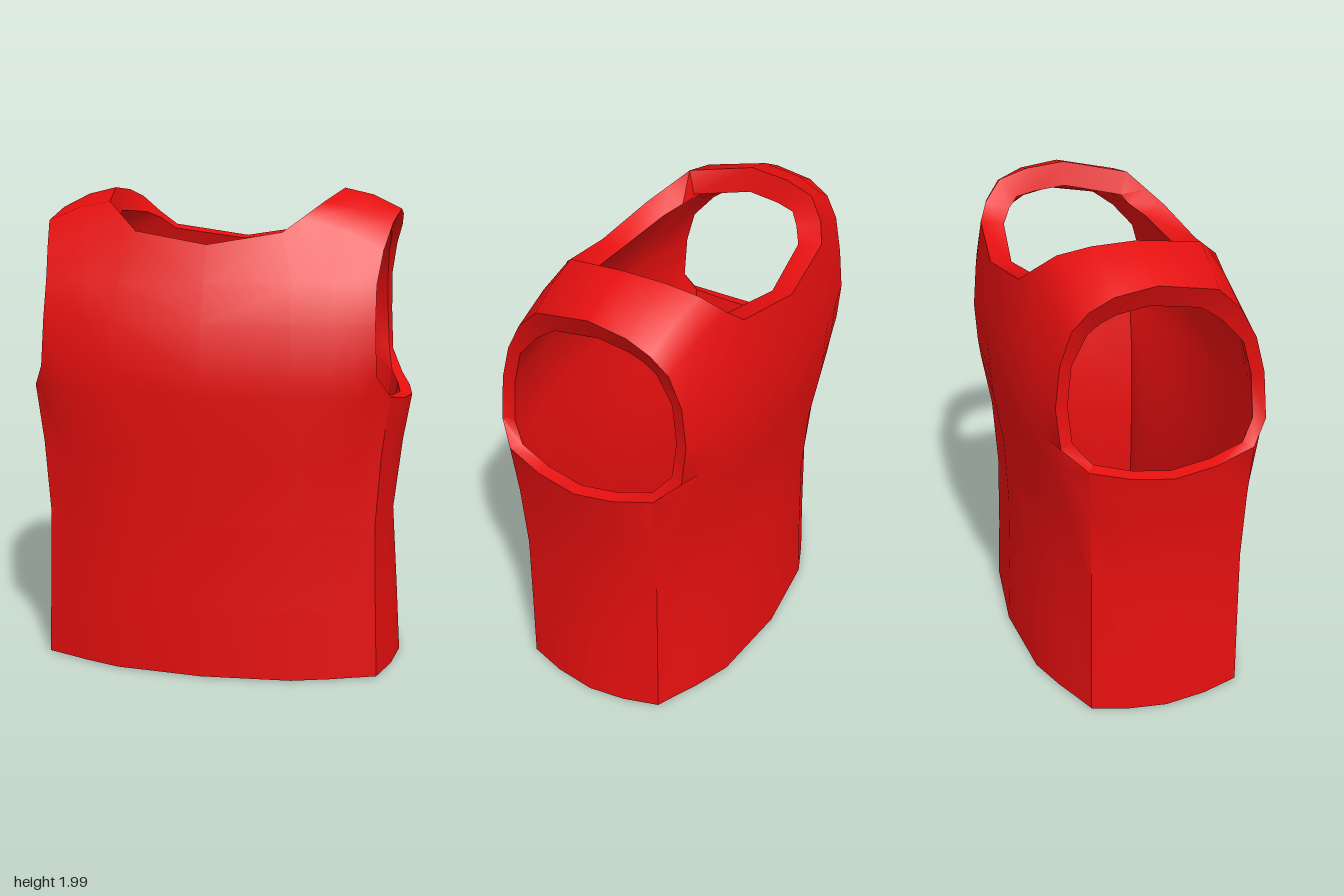
import * as THREE from 'three';
import { mergeVertices, toCreasedNormals } from 'three/addons/utils/BufferGeometryUtils.js';

// Panel rows: height, z at the centre line, x and z at the side, z of the seam if it differs
const FRONT = [
  [0.01, 0.50, 0.71, 0.35], [0.3, 0.50, 0.70, 0.35], [0.65, 0.495, 0.69, 0.35],
  [0.95, 0.515, 0.71, 0.37, 0.355], [1.19, 0.525, 0.74, 0.395, 0.36], [1.28, 0.525, 0.69, 0.425],
  [1.48, 0.50, 0.68, 0.41], [1.63, 0.44, 0.678, 0.37],
];
const BACK = [
  [0.01, -0.49, 0.71, -0.30], [0.3, -0.475, 0.70, -0.295], [0.65, -0.465, 0.69, -0.29],
  [0.95, -0.475, 0.71, -0.32, -0.295], [1.19, -0.51, 0.74, -0.365, -0.31], [1.28, -0.517, 0.69, -0.405],
  [1.45, -0.525, 0.68, -0.42], [1.62, -0.51, 0.678, -0.40],
];
const SIDE_X = [0.78, 0.762, 0.738, 0.772, 0.805]; // widest x of each side row

// Half row from the centre line out to the side seam
function panelRow([y, zc, xk, zk, seam = zk]) {
  const across = [[0, 0], [0.52, 0.2], [0.74, 0.53], [0.87, 0.77]];
  return [...across.map(([s, f]) => [s * xk, y, zc + (zk - zc) * f]), [xk, y, seam]];
}

// Shoulder row from neck edge to arm edge, slightly arched
function strapRow(neck, arm) {
  const mid = neck.map((v, i) => (v + arm[i]) / 2 + (i === 1 ? 0.015 : 0));
  return [neck, mid, arm];
}

// Wall thickness: padded shoulders, and a flatter lining inside the waist
function thicknessAt(x, y) {
  const shoulder = 0.05 * THREE.MathUtils.smoothstep(y, 1.62, 1.88);
  const across = Math.sin(Math.PI * Math.min(1, Math.abs(x) / 0.7));
  const waist = 0.045 * across * Math.sin(Math.PI * Math.min(1, y / 1.3));
  return 0.052 + shoulder + waist;
}

// Adds front and back faces, joined by rims along every open edge
function solidify(points) {
  let g = new THREE.BufferGeometry();
  g.setAttribute('position', new THREE.Float32BufferAttribute(points.flat(), 3));
  g = mergeVertices(g, 1e-4);
  g.computeVertexNormals();
  const p = g.attributes.position, n = g.attributes.normal, count = p.count;
  const idx = Array.from(g.index.array), verts = Array.from(p.array), out = [...idx];
  for (let i = 0; i < count; i++) {
    const t = thicknessAt(p.getX(i), p.getY(i));
    verts.push(p.getX(i) - n.getX(i) * t, p.getY(i) - n.getY(i) * t, p.getZ(i) - n.getZ(i) * t);
  }
  const edges = new Set();
  const eachEdge = (fn) => {
    for (let i = 0; i < idx.length; i += 3)
      for (let k = 0; k < 3; k++) fn(idx[i + k], idx[i + (k + 1) % 3]);
  };
  eachEdge((a, b) => edges.add(a + '_' + b));
  for (let i = 0; i < idx.length; i += 3)
    out.push(idx[i] + count, idx[i + 2] + count, idx[i + 1] + count);
  eachEdge((a, b) => {
    if (!edges.has(b + '_' + a)) out.push(b, a, a + count, b, a + count, b + count);
  });
  const solid = new THREE.BufferGeometry();
  solid.setAttribute('position', new THREE.Float32BufferAttribute(verts, 3));
  solid.setIndex(out);
  return toCreasedNormals(solid, THREE.MathUtils.degToRad(42));
}

export function createModel() {
  const group = new THREE.Group();
  group.name = 'sleevelessVest';
  const red = new THREE.MeshStandardMaterial({ color: 0xe50f0f });
  red.name = 'red';

  const points = [];
  const flip = ([x, y, z]) => [-x, y, z];
  const quad = (a, b, c, d) => {
    points.push(a, b, c, a, c, d);
    const [e, f, g, h] = [a, b, c, d].map(flip);
    points.push(e, g, f, e, h, g);
  };
  // Joins two rows, lined up at the arm edge when one is shorter
  const joinRows = (lo, hi) => {
    const n = Math.min(lo.length, hi.length);
    const a = lo.slice(-n), b = hi.slice(-n);
    for (let i = 0; i < n - 1; i++) quad(a[i], a[i + 1], b[i + 1], b[i]);
  };

  // One sheet running up the front, over the shoulders and down the back
  const front = FRONT.map(panelRow), back = BACK.map(panelRow);
  const frontNeck = [[0, 1.78, 0.378], [0.30, 1.83, 0.345],
    ...strapRow([0.37, 1.885, 0.285], [0.695, 1.76, 0.295])];
  const backNeck = [[0, 1.78, -0.495], [0.33, 1.83, -0.46],
    ...strapRow([0.40, 1.89, -0.42], [0.70, 1.76, -0.36])];
  const sheet = [
    ...front, frontNeck,
    strapRow([0.445, 1.945, 0.22], [0.722, 1.865, 0.19]),
    strapRow([0.50, 2.0, -0.05], [0.738, 1.915, -0.05]),
    strapRow([0.485, 1.99, -0.22], [0.735, 1.89, -0.21]),
    strapRow([0.46, 1.96, -0.345], [0.725, 1.84, -0.30]),
    backNeck, ...back.slice().reverse(),
  ];
  for (let r = 0; r < sheet.length - 1; r++) joinRows(sheet[r], sheet[r + 1]);

  // Side panels below the armholes
  const sides = SIDE_X.map((xm, r) => {
    const f = front[r][4], b = back[r][4], drop = r === 4 ? 0.045 : 0;
    const at = (k, z) => [f[0] + (xm - f[0]) * k, f[1] - drop * k, z];
    return [f, at(0.68, 0.19), at(1, 0.01), at(0.68, -0.15), b];
  });
  for (let r = 0; r < sides.length - 1; r++) joinRows(sides[r], sides[r + 1]);

  const vest = new THREE.Mesh(solidify(points), red);
  vest.name = 'vestBody';
  group.add(vest);
  return group;
}
